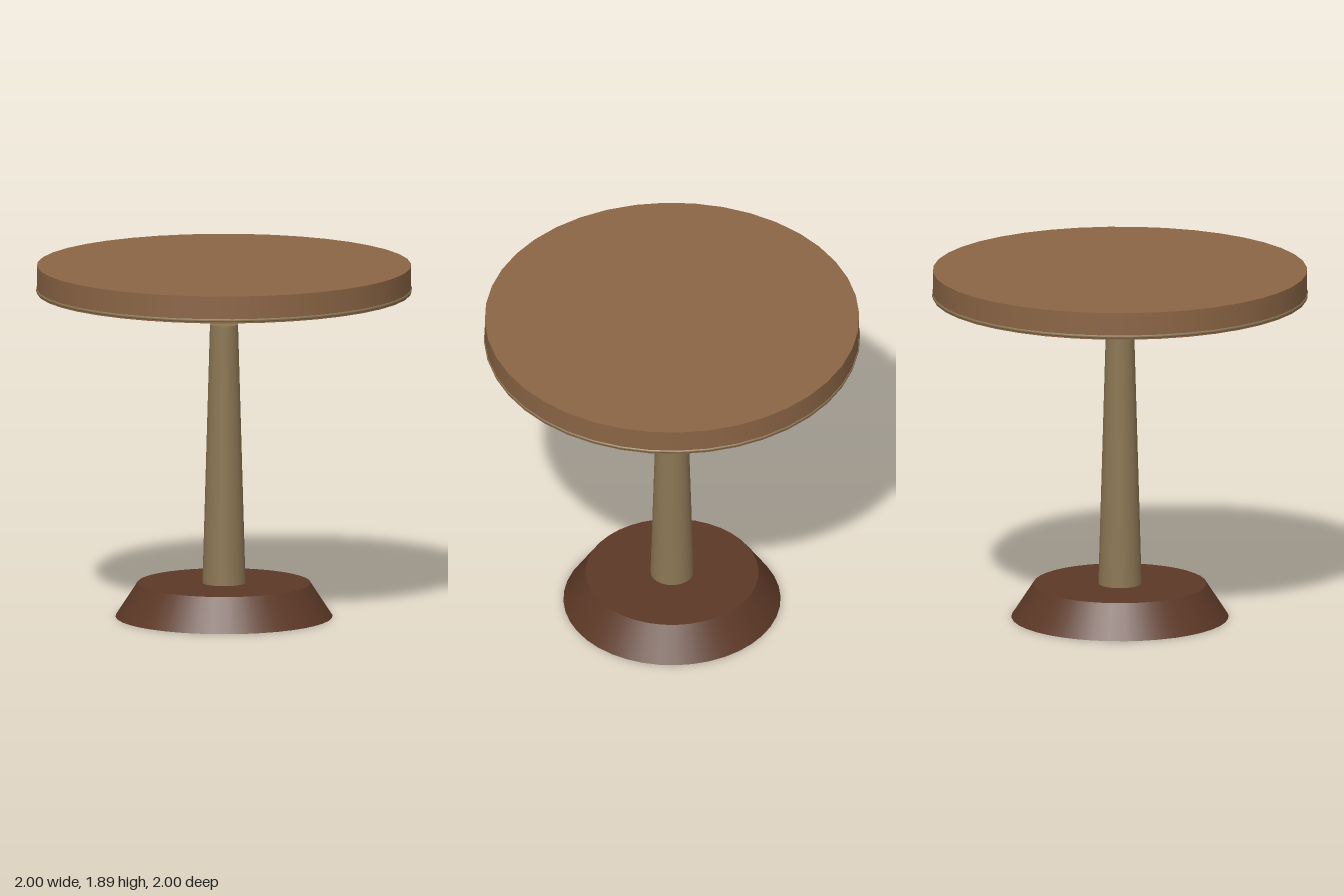
import * as THREE from 'three';

export function createModel() {
  const model = new THREE.Group();
  model.name = 'pedestalTable';

  const wood = (color) => new THREE.MeshStandardMaterial({ color });
  const add = (name, geometry, material, y) => {
    const mesh = new THREE.Mesh(geometry, material);
    mesh.name = name;
    mesh.position.y = y;
    model.add(mesh);
    return mesh;
  };
  // Round part standing between two heights
  const round = (name, rTop, rBottom, y0, y1, sides, material) =>
    add(name, new THREE.CylinderGeometry(rTop, rBottom, y1 - y0, sides), material, (y0 + y1) / 2);

  const paleWood = wood(0x8b7653);

  // Flared foot and tapered column
  round('base', 0.46, 0.577, 0, 0.18, 40, wood(0x5c3826));
  round('column', 0.075, 0.115, 0.18, 1.572, 24, paleWood);

  // Tabletop floats clear of the column
  round('tabletop', 0.995, 0.995, 1.745, 1.89, 40, wood(0x8b6545));

  // Thin bead around the lower edge of the top
  const bead = new THREE.TorusGeometry(0.99, 0.01, 8, 40).rotateX(Math.PI / 2);
  add('edgeBead', bead, paleWood, 1.76);

  return model;
}
